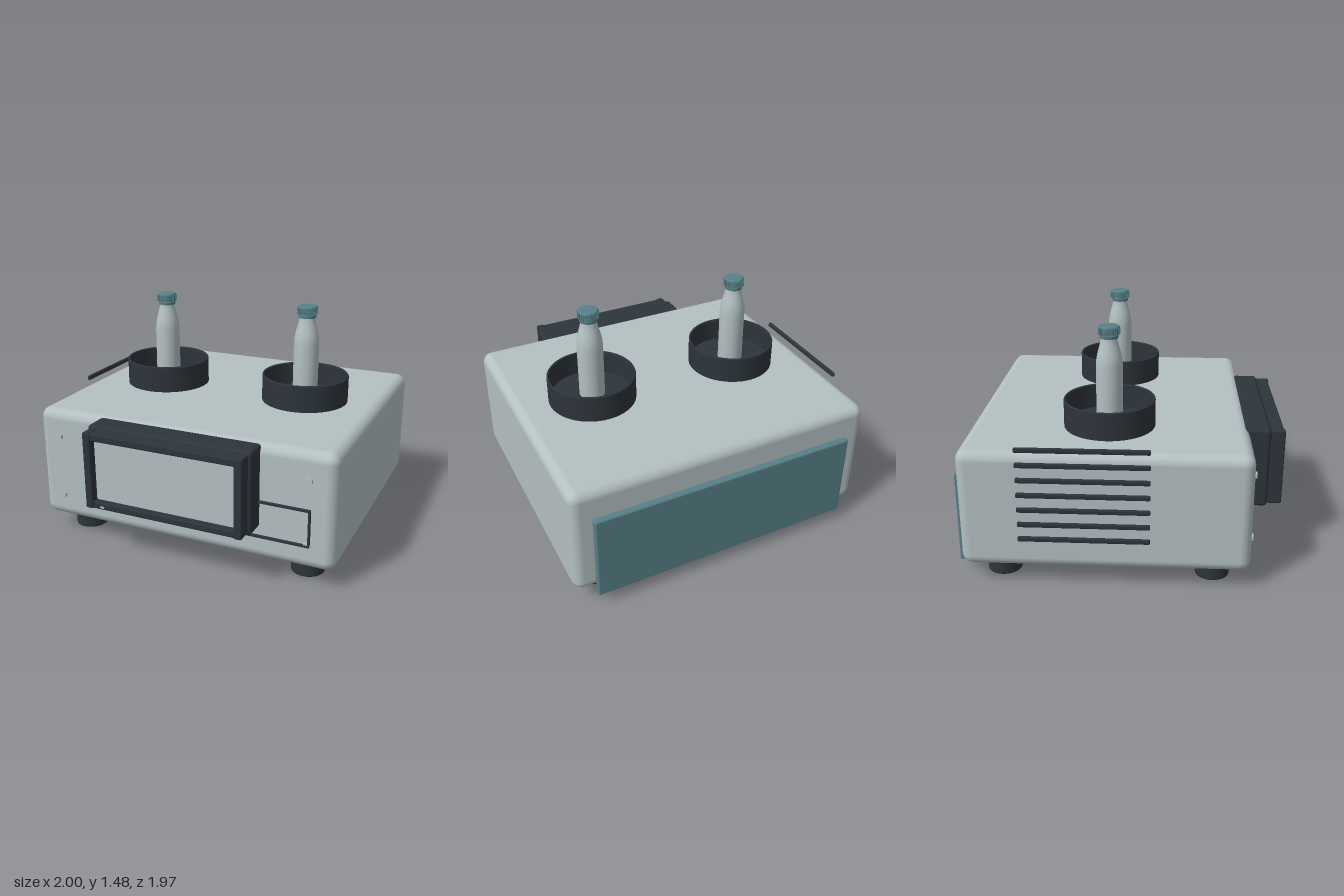
import * as THREE from 'three';
import { RoundedBoxGeometry } from 'three/addons/geometries/RoundedBoxGeometry.js';

export function createModel() {
  const root = new THREE.Group();
  const mat = (name, color, side = THREE.FrontSide) => {
    const m = new THREE.MeshStandardMaterial({ color, side });
    m.name = name;
    return m;
  };
  const shell = mat('pale grey shell', 0xb4c0c2);
  const dark = mat('dark slate', 0x2d343b);
  const teal = mat('muted teal', 0x578189);

  const add = (name, geo, material, x, y, z, parent = root) => {
    const m = new THREE.Mesh(geo, material);
    m.name = name;
    m.position.set(x, y, z);
    parent.add(m);
    return m;
  };
  // Rounded box given by its limits on each axis
  const box = (name, material, x0, x1, y0, y1, z0, z1, r, parent = root) =>
    add(name, new RoundedBoxGeometry(x1 - x0, y1 - y0, z1 - z0, 3, r), material,
      (x0 + x1) / 2, (y0 + y1) / 2, (z0 + z1) / 2, parent);
  // Lathe whose corners stay sharp: each inner list is one smooth run
  const lathe = (name, runs, material, x, y, z, parent) => {
    const g = new THREE.Group();
    g.name = name;
    g.position.set(x, y, z);
    runs.forEach(run => add(name + 'Surface',
      new THREE.LatheGeometry(run.map(p => new THREE.Vector2(...p)), 48), material, 0, 0, 0, g));
    parent.add(g);
  };

  // Housing and back panel
  box('housing', shell, -0.98, 1.0, 0.12, 0.855, -0.95, 0.76, 0.065);
  box('backPanel', teal, -0.85, 0.87, 0.085, 0.66, -0.99, -0.945, 0.012);

  // Feet
  for (const x of [-0.765, 0.78]) for (const z of [0.545, -0.73])
    lathe('foot', [
      [[0, 0], [0.098, 0]],
      [[0.098, 0], [0.103, 0.002], [0.105, 0.008]],
      [[0.105, 0.008], [0.105, 0.14]],
    ], dark, x, 0, z, root);

  // Cup holders, each with a capped bottle
  for (const x of [-0.495, 0.51]) {
    const station = new THREE.Group();
    station.name = 'bottleStation';
    station.position.set(x, 0, -0.095);
    root.add(station);
    lathe('cupHolder', [
      [[0, 0.855], [0.279, 0.855]],
      [[0.279, 0.855], [0.279, 1.022]],
      [[0.279, 1.022], [0.275, 1.028], [0.269, 1.028], [0.265, 1.022]],
      [[0.265, 1.022], [0.265, 0.875]],
      [[0.265, 0.875], [0, 0.875]],
    ], dark, 0, 0, 0, station);
    lathe('bottle', [
      [[0, 0.876], [0.075, 0.876]],
      [[0.075, 0.876], [0.081, 0.885], [0.081, 1.1], [0.081, 1.23], [0.078, 1.27],
        [0.07, 1.31], [0.058, 1.355], [0.051, 1.385], [0.049, 1.41], [0.049, 1.43]],
    ], shell, 0, 0, 0, station);
    lathe('capCollar', [
      [[0.048, 1.4], [0.055, 1.4]],
      [[0.055, 1.4], [0.057, 1.418]],
      [[0.057, 1.418], [0.048, 1.418]],
    ], teal, 0, 0, 0, station);
    lathe('cap', [
      [[0, 1.422], [0.06, 1.422]],
      [[0.06, 1.422], [0.062, 1.465]],
      [[0.062, 1.465], [0.06, 1.472], [0.055, 1.475]],
      [[0.055, 1.475], [0, 1.475]],
    ], teal, 0, 0, 0, station);
    // Grip ribs around the cap
    for (let i = 0; i < 28; i++) {
      const a = (i / 28) * Math.PI * 2;
      const rib = add('capRib', new THREE.BoxGeometry(0.006, 0.042, 0.008), teal,
        Math.sin(a) * 0.062, 1.444, Math.cos(a) * 0.062, station);
      rib.rotation.y = a;
    }
  }

  // Row of vent bars on the right side, the top one clear of the housing
  for (let i = 0; i < 7; i++) {
    const y = 0.32 + i * 0.0935;
    box('ventBar', dark, -1.0, -0.978, y - 0.015, y + 0.015, -0.6, 0.17, 0.008);
  }

  // Display: rear housing, bezel rails and inset screen
  const display = new THREE.Group();
  display.name = 'display';
  root.add(display);
  box('displayHousing', dark, -0.53, 0.54, 0.33, 0.85, 0.725, 0.89, 0.025, display);
  for (const x of [-0.51, 0.47])
    box('bezelPost', dark, x, x + 0.05, 0.345, 0.835, 0.87, 0.978, 0.01, display);
  box('bezelTop', dark, -0.465, 0.475, 0.785, 0.83, 0.87, 0.972, 0.008, display);
  box('bezelBottom', dark, -0.465, 0.475, 0.348, 0.39, 0.87, 0.972, 0.008, display);
  add('screen', new THREE.BoxGeometry(0.95, 0.42, 0.008), shell, 0.005, 0.588, 0.922, display);
  add('screenBacking', new THREE.BoxGeometry(0.95, 0.42, 0.04), dark, 0.005, 0.588, 0.897, display);
  add('indicator', new THREE.BoxGeometry(0.026, 0.009, 0.012), shell, -0.395, 0.366, 0.973, display);

  // Thin rectangular trim beside the display
  const trim = new THREE.Shape();
  trim.moveTo(0.033, 0.276).lineTo(0.856, 0.276).lineTo(0.856, 0.51).lineTo(0.033, 0.51).closePath();
  const hole = new THREE.Path();
  hole.moveTo(0.044, 0.287).lineTo(0.044, 0.499).lineTo(0.845, 0.499).lineTo(0.845, 0.287).closePath();
  trim.holes.push(hole);
  add('trimFrame', new THREE.ExtrudeGeometry(trim, { depth: 0.02, bevelEnabled: false }),
    dark, 0, 0, 0.766);

  // Hex bolts on the front
  for (const x of [-0.825, 0.838]) for (const y of [0.28, 0.685]) {
    const bolt = add('bolt', new THREE.CylinderGeometry(0.023, 0.023, 0.03, 6).toNonIndexed(), shell, x, y, 0.765);
    bolt.geometry.computeVertexNormals();
    bolt.rotation.x = Math.PI / 2;
  }
  return root;
}
